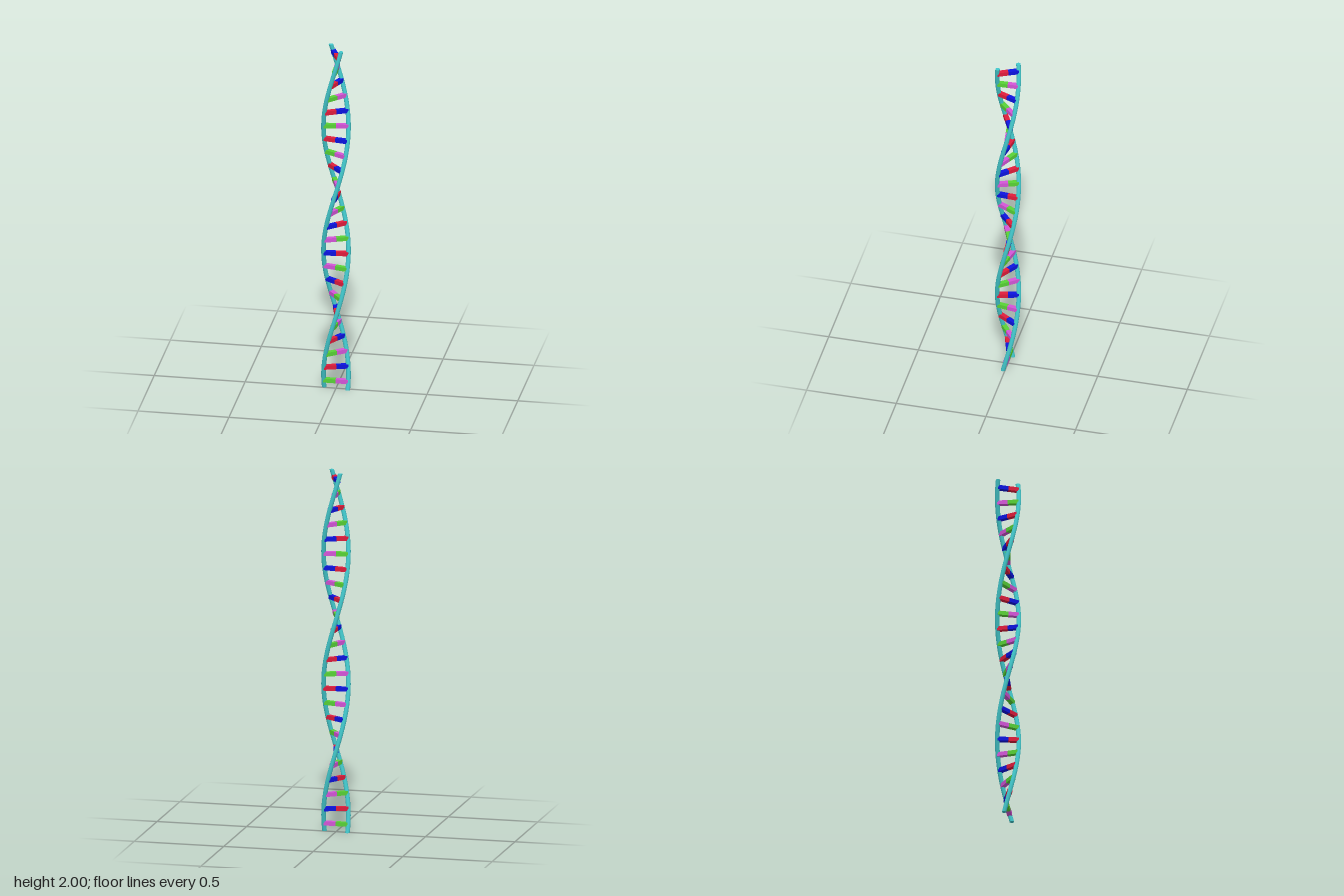
import * as THREE from 'three';

const HEIGHT = 2, RX = 0.068, RZ = 0.058, TUBE = 0.0125;
const HALF_TURN = 0.73, START = 0.045;

// Point on a strand's centre line; side is +1 or -1 for the two opposite strands
function strandPoint(y, side) {
  const a = Math.PI * (y - START) / HALF_TURN;
  return new THREE.Vector3(side * RX * Math.cos(a), y, -side * RZ * Math.sin(a));
}

const paint = (color) => new THREE.MeshStandardMaterial({ color });

// A straight rod whose rows are shifted onto the helix
function makeStrand(side, material) {
  const geo = new THREE.CylinderGeometry(TUBE, TUBE, HEIGHT, 14, 110);
  geo.translate(0, HEIGHT / 2, 0);
  const pos = geo.attributes.position;
  for (let i = 0; i < pos.count; i++) {
    const c = strandPoint(pos.getY(i), side);
    pos.setX(i, pos.getX(i) + c.x);
    pos.setZ(i, pos.getZ(i) + c.z);
  }
  geo.computeVertexNormals();
  return new THREE.Mesh(geo, material);
}

// Half a rung, from the axis out to one strand
function makeHalfRung(y, side, material) {
  const end = strandPoint(y, side);
  const length = Math.hypot(end.x, end.z);
  const geo = new THREE.BoxGeometry(length, 0.023, 0.025);
  geo.translate(length / 2, 0, 0);
  const mesh = new THREE.Mesh(geo, material);
  mesh.position.y = y;
  mesh.rotation.y = Math.atan2(-end.z, end.x);
  return mesh;
}

export function createModel() {
  const model = new THREE.Group();
  model.name = 'doubleHelix';

  // Two intertwined strands
  const teal = paint(0x42c8cc);
  for (const side of [1, -1]) {
    const strand = makeStrand(side, teal);
    strand.name = side > 0 ? 'strandA' : 'strandB';
    model.add(strand);
  }

  // Ladder of two-coloured rungs, alternating between two pairs
  const pairs = [
    [paint(0xd455d8), paint(0x58d236)],
    [paint(0x0c14e0), paint(0xe01c3c)],
  ];
  const count = 24, step = (1.96 - START) / (count - 1);
  for (let i = 0; i < count; i++) {
    const rung = new THREE.Group();
    rung.name = `rung${i + 1}`;
    [1, -1].forEach((side, k) => {
      const half = makeHalfRung(START + i * step, side, pairs[i % 2][k]);
      half.name = k === 0 ? 'baseA' : 'baseB';
      rung.add(half);
    });
    model.add(rung);
  }
  return model;
}
